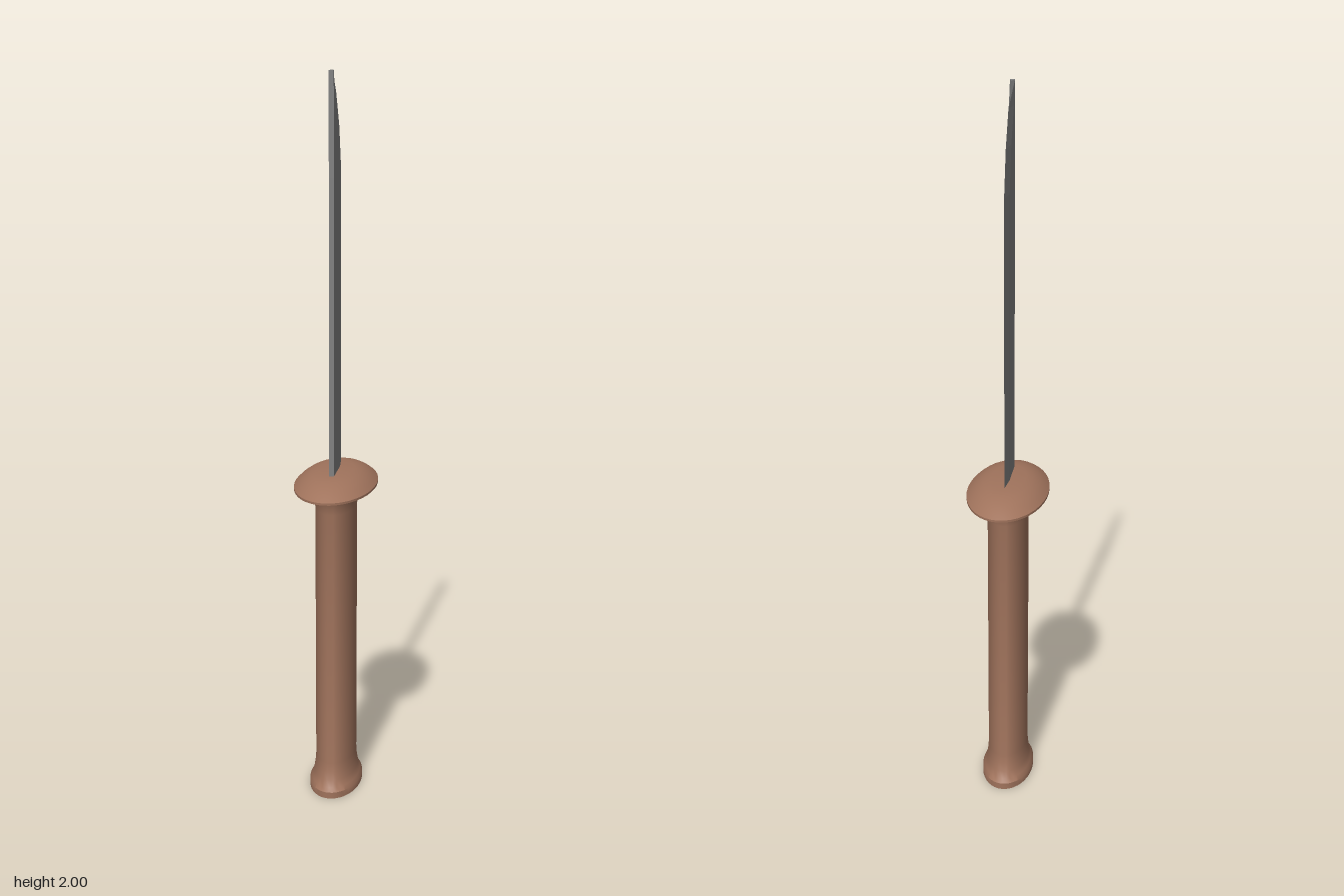
import * as THREE from 'three';
import { toCreasedNormals } from 'three/addons/utils/BufferGeometryUtils.js';

const FLATTEN = 0.572; // oval handle: width in x relative to depth in z

// Oval turned part from a [radius, height] profile, bottom to top
function turned(name, profile, material) {
  const lathe = new THREE.LatheGeometry(profile.map(([r, y]) => new THREE.Vector2(r, y)), 40);
  lathe.scale(FLATTEN, 1, 1);
  const mesh = new THREE.Mesh(toCreasedNormals(lathe, 0.7), material);
  mesh.name = name;
  return mesh;
}

// Blade lofted through five-sided sections: flat spine, two sides, bevelled edge
function bladeGeometry() {
  const spine = 0.074, half = 0.0065, bevel = 0.053;
  // [height, z of the cutting edge]
  const stations = [[0.9, -0.073], [1.73, -0.073], [1.85, -0.044], [1.94, 0.002], [2.0, 0.056]];
  const positions = [];
  for (const [y, edge] of stations) {
    const shoulder = Math.min(spine - 0.001, edge + bevel);
    positions.push(half, y, spine, half, y, shoulder, 0, y, edge, -half, y, shoulder, -half, y, spine);
  }
  const index = [];
  for (let s = 0; s < stations.length - 1; s++) {
    for (let i = 0; i < 5; i++) {
      const a = s * 5 + i, b = s * 5 + (i + 1) % 5;
      index.push(a, b, b + 5, a, b + 5, a + 5);
    }
  }
  // End caps
  const top = (stations.length - 1) * 5;
  for (let i = 1; i < 4; i++) {
    index.push(top, top + i, top + i + 1, 0, i + 1, i);
  }
  const geometry = new THREE.BufferGeometry();
  geometry.setAttribute('position', new THREE.Float32BufferAttribute(positions, 3));
  geometry.setIndex(index);
  geometry.computeVertexNormals();
  return geometry;
}

export function createModel() {
  const model = new THREE.Group();
  model.name = 'knife';
  const brown = new THREE.MeshStandardMaterial({ color: 0xa0735c });
  const steel = new THREE.MeshStandardMaterial({ color: 0x808080, flatShading: true });

  // Grip with a flared pommel and a flared collar under the guard
  model.add(turned('handle', [
    [0, 0], [0.126, 0], [0.126, 0.018], [0.115, 0.028], [0.106, 0.047], [0.1, 0.07], [0.097, 0.095],
    [0.097, 0.83], [0.102, 0.855], [0.11, 0.875], [0.122, 0.893], [0, 0.893],
  ], brown));

  // Domed oval guard
  model.add(turned('guard', [
    [0, 0.892], [0.195, 0.89], [0.195, 0.896], [0.174, 0.908], [0.148, 0.919],
    [0.118, 0.928], [0.085, 0.933], [0, 0.933],
  ], brown));

  const blade = new THREE.Mesh(bladeGeometry(), steel);
  blade.name = 'blade';
  model.add(blade);
  return model;
}
